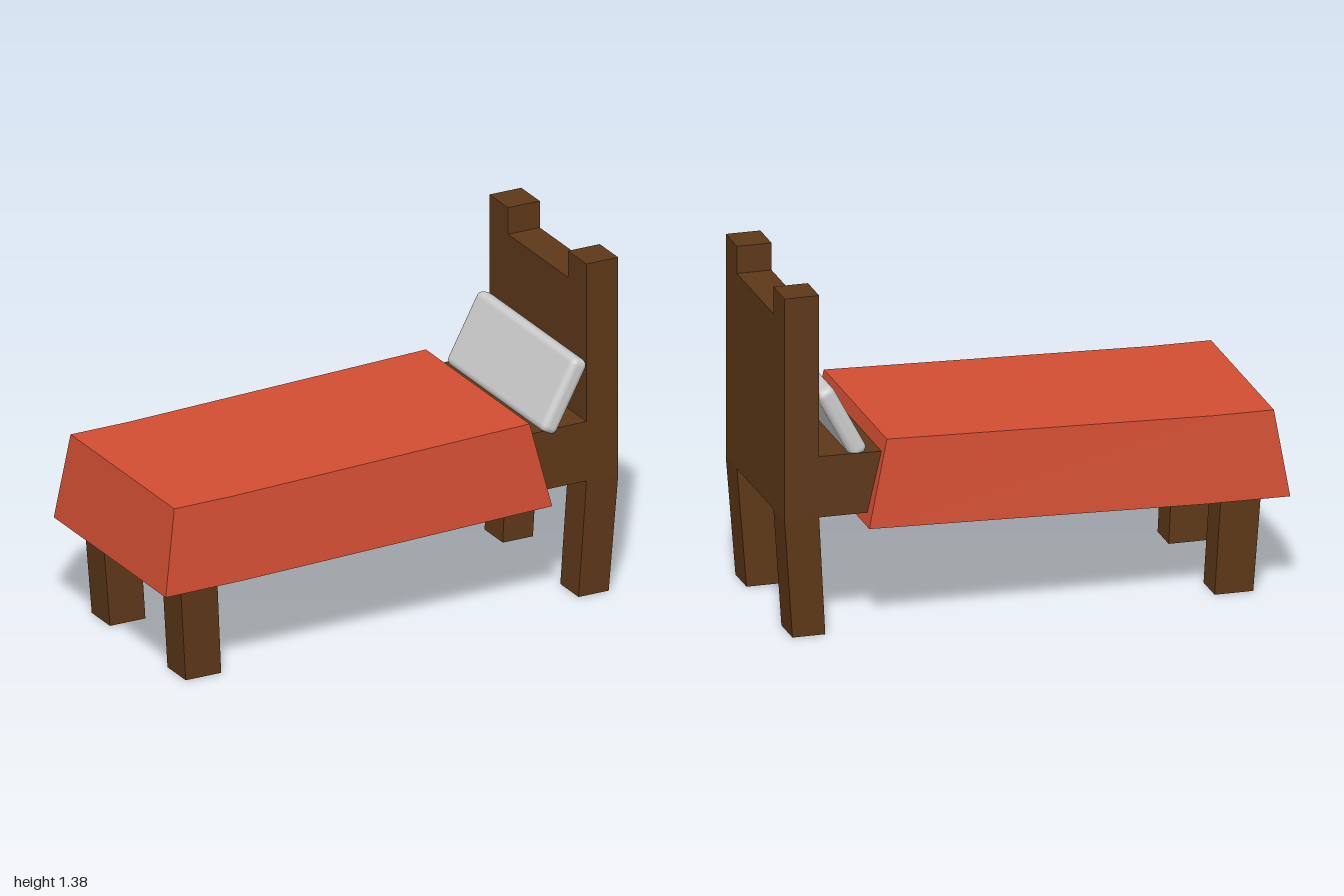
import * as THREE from 'three';
import { RoundedBoxGeometry } from 'three/addons/geometries/RoundedBoxGeometry.js';

const wood = new THREE.MeshStandardMaterial({ color: 0x5e3818, flatShading: true });
const cloth = new THREE.MeshStandardMaterial({ color: 0xd24e32, flatShading: true, side: THREE.DoubleSide });
const white = new THREE.MeshStandardMaterial({ color: 0xcccccc });

// Outline running along +z from -x to +x, then back along -z: stations are [x, y], z0..z1 the width
function outline(stations, z0, z1) {
  const near = stations.map(([x, y]) => [x, y, z1]);
  const far = stations.map(([x, y]) => [x, y, z0]).reverse();
  return [...near, ...far];
}

// Solid (or open-bottomed cover) spanning a lower and an upper outline
function loft(lower, upper, openBottom = false) {
  const pos = [];
  const quad = (a, b, c, d) => pos.push(...a, ...b, ...c, ...a, ...c, ...d);
  const n = lower.length;
  for (let i = 0; i < n; i++) {
    const j = (i + 1) % n;
    quad(lower[i], lower[j], upper[j], upper[i]);
  }
  for (let i = 0; i < n / 2 - 1; i++) {
    const c = n - 2 - i, d = n - 1 - i;
    quad(upper[i], upper[i + 1], upper[c], upper[d]);
    if (!openBottom) quad(lower[d], lower[c], lower[i + 1], lower[i]);
  }
  const g = new THREE.BufferGeometry();
  g.setAttribute('position', new THREE.Float32BufferAttribute(pos, 3));
  g.computeVertexNormals();
  return g;
}

export function createModel() {
  const bed = new THREE.Group();
  bed.name = 'bed';
  const add = (name, geometry, material) => {
    const mesh = new THREE.Mesh(geometry, material);
    mesh.name = name;
    bed.add(mesh);
    return mesh;
  };

  // Bed base
  add('base', loft(
    outline([[-0.91, 0.48], [0.865, 0.48]], -0.387, 0.387),
    outline([[-0.91, 0.7], [0.865, 0.727]], -0.387, 0.387)), wood);

  // Headboard panel between the posts
  add('headboard', loft(
    outline([[0.862, 0.478], [1, 0.478]], -0.24, 0.24),
    outline([[0.862, 1.27], [1, 1.27]], -0.24, 0.24)), wood);

  for (const s of [1, -1]) {
    const side = s > 0 ? 'Near' : 'Far';
    const span = (a, b) => (s > 0 ? [a, b] : [-b, -a]);
    const top = span(0.24, 0.388), foot = span(0.23, 0.376);

    // Headboard post and the leg splaying from it
    add('post' + side, loft(
      outline([[0.862, 0.478], [1, 0.478]], ...top),
      outline([[0.862, 1.38], [1, 1.38]], ...top)), wood);
    add('headLeg' + side, loft(
      outline([[0.834, 0], [0.965, 0]], ...foot),
      outline([[0.862, 0.478], [1, 0.478]], ...top)), wood);

    // Leg at the foot end
    add('footLeg' + side, loft(
      outline([[-0.874, 0], [-0.72, 0]], ...foot),
      outline([[-0.908, 0.482], [-0.747, 0.482]], ...top)), wood);
  }

  // Flared blanket, open underneath
  add('blanket', loft(
    outline([[-1, 0.395], [-0.66, 0.398], [0.68, 0.435]], -0.448, 0.448),
    outline([[-0.945, 0.74], [-0.7, 0.741], [0.6, 0.78]], -0.415, 0.415), true), cloth);

  // Pillow leaning on the headboard
  const pillow = add('pillow', new RoundedBoxGeometry(0.074, 0.315, 0.785, 4, 0.028), white);
  pillow.position.set(0.766, 0.85, 0.008);
  pillow.rotation.z = -0.49;

  return bed;
}
